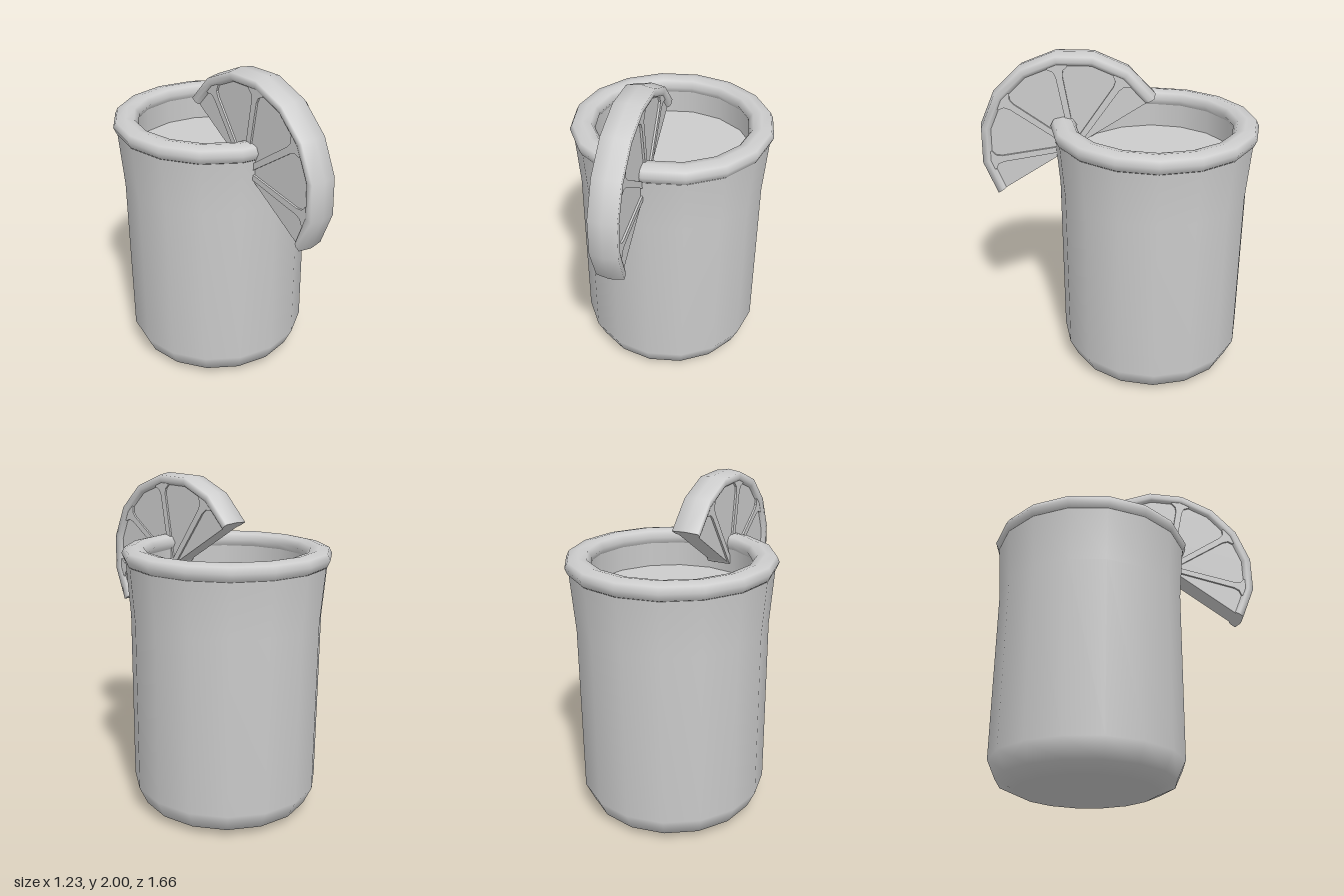
import * as THREE from 'three';

export function createModel() {
  const model = new THREE.Group();
  const grey = new THREE.MeshStandardMaterial({ color: 0xcccccc, side: THREE.DoubleSide });
  grey.name = 'grey';

  const add = (parent, name, geometry) => {
    const mesh = new THREE.Mesh(geometry, grey);
    mesh.name = name;
    parent.add(mesh);
    return mesh;
  };
  const points = (list) => list.map(([x, y]) => new THREE.Vector2(x, y));
  const lathe = (list) => new THREE.LatheGeometry(points(list), 16);

  // Glass: body, thick rolled rim, inner wall and drink
  const glass = new THREE.Group();
  glass.name = 'glass';
  glass.position.z = -0.215;
  model.add(glass);
  add(glass, 'glassBody', lathe([
    [0, 0], [0.41, 0], [0.52, 0.05], [0.57, 0.16], [0.57, 1.2], [0.595, 1.53],
  ]));
  add(glass, 'glassRim', lathe([
    [0.585, 1.525], [0.6, 1.535], [0.617, 1.575], [0.6, 1.61], [0.54, 1.624],
    [0.49, 1.612], [0.465, 1.575], [0.49, 1.535],
  ]));
  add(glass, 'innerWall', lathe([[0.49, 1.535], [0.5, 1.36]]));
  const drink = add(glass, 'drink', new THREE.CircleGeometry(0.505, 16).rotateX(-Math.PI / 2));
  drink.position.y = 1.385;

  // Half slice of citrus hooked over the rim, drawn as the upper half disc in its own plane
  const slice = new THREE.Group();
  slice.name = 'citrusSlice';
  slice.position.set(-0.0825, 1.435, 0.265);
  slice.rotation.set(0, Math.PI / 2, 0.568);
  model.add(slice);

  // Rind with a slightly crowned outer edge
  const rindProfile = points([
    [0.505, -0.06], [0.515, -0.075], [0.53, -0.0815], [0.563, -0.0815],
    [0.576, 0],
    [0.563, 0.0815], [0.53, 0.0815], [0.515, 0.075], [0.505, 0.06],
  ]);
  add(slice, 'rind', new THREE.LatheGeometry(rindProfile, 8, Math.PI / 2, Math.PI).rotateX(Math.PI / 2));
  for (const side of [1, -1]) {
    const cap = new THREE.ShapeGeometry(new THREE.Shape(rindProfile)).rotateX(Math.PI / 2);
    add(slice, 'rindEnd', cap).rotation.y = side > 0 ? 0 : Math.PI;
  }

  // Recessed flesh
  const half = new THREE.Shape();
  half.absarc(0, 0, 0.525, 0, Math.PI);
  half.closePath();
  const extrude = (shape, depth) => new THREE.ExtrudeGeometry(shape, {
    depth, bevelEnabled: false, curveSegments: 8,
  }).translate(0, 0, -depth / 2);
  add(slice, 'flesh', extrude(half, 0.126));

  // Raised membranes that flare where they meet the rind
  const web = new THREE.Shape(points([
    [0.02, -0.017], [0.44, -0.02], [0.475, -0.03], [0.495, -0.06], [0.53, -0.06],
    [0.53, 0.06], [0.495, 0.06], [0.475, 0.03], [0.44, 0.02], [0.02, 0.017],
  ]));
  for (let i = 0; i < 4; i++) {
    add(slice, 'membrane', extrude(web, 0.15)).rotation.z = (i + 0.5) * Math.PI / 4;
  }
  return model;
}
